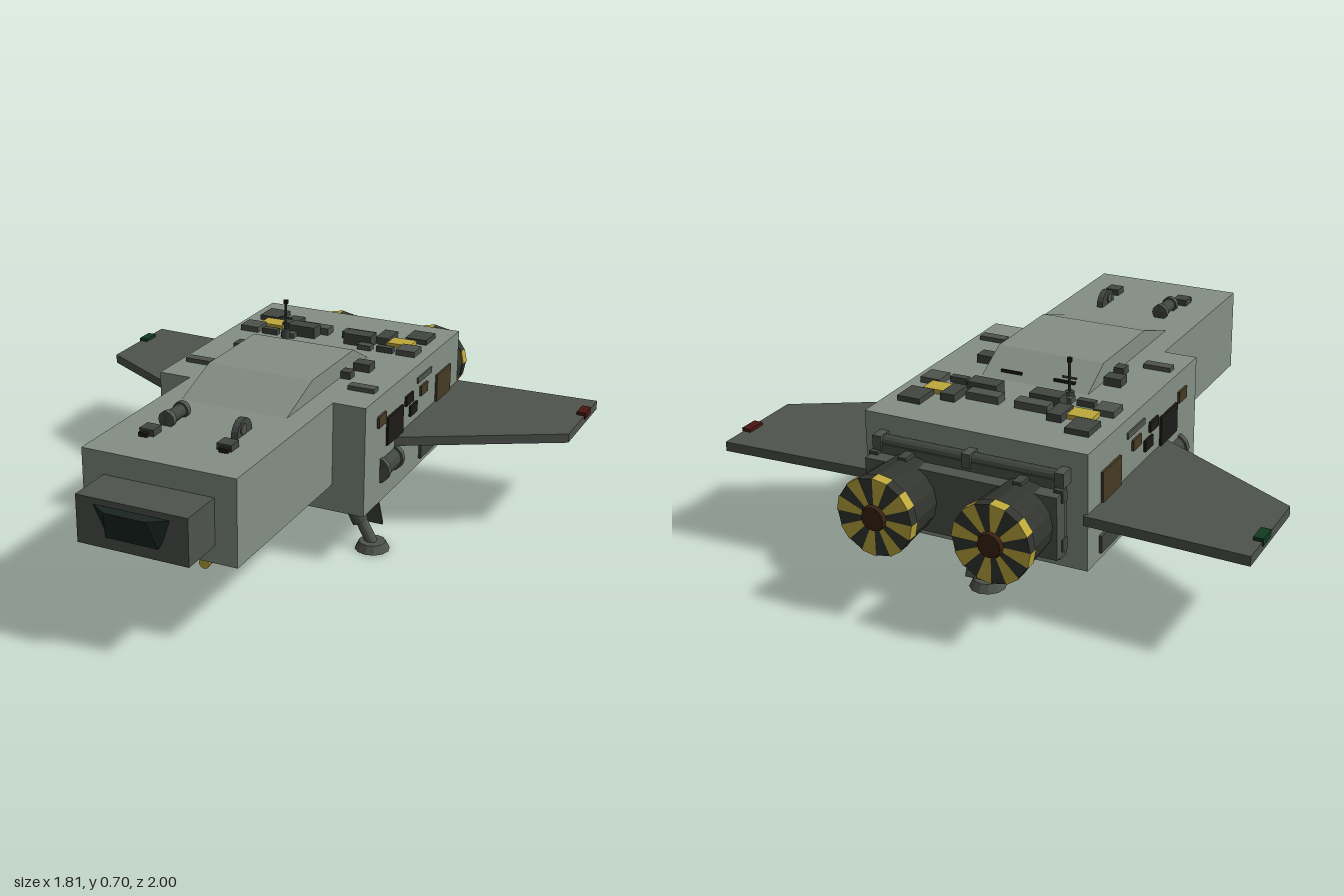
import * as THREE from 'three';

const mat = (color) => new THREE.MeshStandardMaterial({ color, flatShading: true });
const M = {
  hull: mat(0x848f85), dark: mat(0x4e534d), trim: mat(0x414641), engine: mat(0x32352f),
  black: mat(0x1c1a18), brown: mat(0x453a24), yellow: mat(0xbfa93c), glass: mat(0x1a2622),
  rust: mat(0x3a2214), red: mat(0x4a1512), green: mat(0x123a20),
};
const UP = new THREE.Vector3(0, 1, 0);

export function createModel() {
  const root = new THREE.Group();

  const add = (name, geo, m, parent = root) => {
    const mesh = new THREE.Mesh(geo, m);
    mesh.name = name;
    parent.add(mesh);
    return mesh;
  };
  // box given by its extents
  const box = (name, m, x0, x1, y0, y1, z0, z1) =>
    add(name, new THREE.BoxGeometry(x1 - x0, y1 - y0, z1 - z0)
      .translate((x0 + x1) / 2, (y0 + y1) / 2, (z0 + z1) / 2), m);
  // cylinder between two points
  const rod = (name, m, a, b, r0, r1 = r0, sides = 12) => {
    const p = new THREE.Vector3(...a), q = new THREE.Vector3(...b);
    const mesh = add(name, new THREE.CylinderGeometry(r1, r0, p.distanceTo(q), sides), m);
    mesh.position.copy(p).add(q).multiplyScalar(0.5);
    mesh.quaternion.setFromUnitVectors(UP, q.sub(p).normalize());
    return mesh;
  };

  // Hull blocks
  box('mainHull', M.hull, -0.38, 0.38, 0.175, 0.56, -0.725, 0.13);
  box('forwardHull', M.hull, -0.265, 0.265, 0.27, 0.56, 0.13, 0.8);
  box('nose', M.dark, -0.19, 0.19, 0.328, 0.485, 0.8, 0.957);

  // Slanted cockpit window: a block with pulled-in corners
  const win = new THREE.BoxGeometry(1, 1, 1);
  const wp = win.attributes.position;
  for (let i = 0; i < wp.count; i++) {
    const top = wp.getY(i) > 0, front = wp.getZ(i) > 0;
    const w = top ? (front ? 0.07 : 0.14) : 0.09;
    wp.setXYZ(i, Math.sign(wp.getX(i)) * w, top ? 0.465 : 0.365,
      front ? (top ? 0.997 : 0.96) : 0.95);
  }
  add('cockpitWindow', win, M.glass);

  // Raised roof with ramps, extruded across the hull
  const roof = new THREE.Shape([[-0.32, 0.56], [0.32, 0.56], [0.2, 0.625], [-0.13, 0.625]]
    .map(([a, b]) => new THREE.Vector2(a, b)));
  add('roofHump', new THREE.ExtrudeGeometry(roof, { depth: 0.38, bevelEnabled: false })
    .rotateY(Math.PI / 2).translate(-0.19, 0, 0), M.hull);

  // Top panels: x, z, width, length, height, material
  const topPanels = [
    [0.29, -0.57, 0.08, 0.09, 0.018, M.trim], [0.25, -0.485, 0.09, 0.065, 0.015, M.yellow],
    [0.185, -0.51, 0.05, 0.09, 0.025, M.trim], [0.305, -0.42, 0.07, 0.07, 0.02, M.dark],
    [0.225, -0.4, 0.06, 0.025, 0.02, M.trim], [0.11, -0.44, 0.105, 0.055, 0.04, M.trim],
    [0.085, -0.49, 0.115, 0.045, 0.025, M.dark], [0.15, -0.395, 0.05, 0.03, 0.018, M.dark],
    [0.23, -0.2, 0.06, 0.05, 0.028, M.trim], [0.21, -0.107, 0.035, 0.04, 0.025, M.trim],
    [0.305, -0.018, 0.095, 0.036, 0.015, M.dark], [0.135, 0.61, 0.05, 0.05, 0.022, M.trim],
    [0.14, 0.64, 0.03, 0.02, 0.014, M.black],
  ];
  // Side panels: z, y, length, height, thickness, material
  const sidePanels = [
    [0, 0.475, 0.065, 0.04, 0.008, M.brown], [-0.115, 0.415, 0.135, 0.1, 0.008, M.black],
    [-0.24, 0.465, 0.065, 0.035, 0.008, M.black], [-0.28, 0.415, 0.062, 0.038, 0.008, M.black],
    [-0.38, 0.505, 0.13, 0.02, 0.006, M.dark], [-0.375, 0.457, 0.062, 0.036, 0.008, M.brown],
    [-0.565, 0.415, 0.135, 0.1, 0.008, M.brown], [-0.355, 0.315, 0.085, 0.045, 0.01, M.trim],
    [-0.5, 0.228, 0.29, 0.058, 0.01, M.trim],
  ];

  // Wing outline in x and z
  const wingShape = (s) => new THREE.Shape([[0.37, -0.12], [0.9, -0.415], [0.9, -0.76], [0.37, -0.738]]
    .map(([x, z]) => new THREE.Vector2(s * x, -z)));

  for (const s of [-1, 1]) {
    const sideBox = (name, m, x, w, y0, y1, z0, z1) =>
      box(name, m, s * x - w / 2, s * x + w / 2, y0, y1, z0, z1);

    for (const [x, z, w, l, h, m] of topPanels)
      sideBox('topPanel', m, x, w, 0.555, 0.56 + h, z - l / 2, z + l / 2);
    for (const [z, y, l, h, t, m] of sidePanels)
      sideBox('sidePanel', m, 0.38, t * 2, y - h / 2, y + h / 2, z - l / 2, z + l / 2);
    sideBox('roofSlot', M.black, 0.095, 0.075, 0.57, 0.583, -0.295, -0.288);

    // Wing with its tip light
    add('wing', new THREE.ExtrudeGeometry(wingShape(s), { depth: 0.032, bevelEnabled: false })
      .rotateX(-Math.PI / 2).translate(0, 0.333, 0), M.dark);
    sideBox('wingLight', s > 0 ? M.red : M.green, 0.888, 0.032, 0.352, 0.376, -0.665, -0.598);

    // Side tank with end rings
    rod('sideTank', M.trim, [s * 0.368, 0.29, 0], [s * 0.368, 0.29, -0.14], 0.04);
    for (const z of [0, -0.12])
      rod('tankRing', M.dark, [s * 0.368, 0.29, z], [s * 0.368, 0.29, z - 0.02], 0.047);

    // Chin gun
    rod('gunBarrel', M.trim, [s * 0.122, 0.23, 0.48], [s * 0.122, 0.23, 0.735], 0.016);
    rod('gunMuzzle', M.yellow, [s * 0.122, 0.23, 0.735], [s * 0.122, 0.23, 0.747], 0.018);
    sideBox('gunMount', M.trim, 0.122, 0.03, 0.22, 0.275, 0.49, 0.6);

    // Engine bell, hazard ring and core
    const ex = s * 0.195, ey = 0.35;
    rod('engineBell', M.engine, [ex, ey, -0.76], [ex, ey, -0.95], 0.114, 0.124, 16);
    rod('engineRim', M.engine, [ex, ey, -0.95], [ex, ey, -0.985], 0.127, 0.127, 16);
    for (let i = 0; i < 8; i++) {
      const stripe = add('hazardStripe', new THREE.CylinderGeometry(0.129, 0.129, 0.037, 1, 1, false,
        (i * 2 * Math.PI) / 8, Math.PI / 8), M.yellow);
      stripe.rotation.x = Math.PI / 2;
      stripe.position.set(ex, ey, -0.968);
    }
    rod('engineCore', M.rust, [ex, ey, -0.98], [ex, ey, -0.998], 0.045, 0.038);
    sideBox('engineBracket', M.trim, 0.195, 0.03, 0.44, 0.475, -0.82, -0.76);
    for (const y of [0.26, 0.42]) sideBox('rearClamp', M.trim, 0.315, 0.03, y, y + 0.04, -0.79, -0.76);
  }

  // Engine mounting and cross pipe
  box('enginePlate', M.dark, -0.31, 0.31, 0.22, 0.48, -0.77, -0.72);
  box('engineMount', M.dark, -0.325, 0.325, 0.245, 0.45, -0.82, -0.765);
  rod('rearPipe', M.trim, [-0.315, 0.485, -0.748], [0.315, 0.485, -0.748], 0.02);
  for (const x of [-0.31, 0, 0.31]) box('pipeBracket', M.dark, x - 0.015, x + 0.015, 0.46, 0.507, -0.775, -0.72);

  // Landing legs: hull end, foot position
  const legs = [[-0.27, 0, -0.36, 0], [0.27, 0, 0.36, 0], [0, -0.575, 0, -0.655]];
  for (const [x, z, fx, fz] of legs) {
    const mx = (x + fx) / 2, mz = (z + fz) / 2;
    rod('legStrut', M.trim, [x, 0.175, z], [mx, 0.09, mz], 0.028);
    rod('legPiston', M.dark, [mx, 0.1, mz], [fx, 0.02, fz], 0.02);
    rod('foot', M.dark, [fx, 0, fz], [fx, 0.028, fz], 0.06, 0.046);
    const hx = x + Math.sign(x) * 0.02;
    box('legBay', M.black, hx - 0.06, hx + 0.06, 0.16, 0.178, z - 0.065, z + 0.065);
    for (const e of [-1, 1])
      for (let i = -1; i <= 1; i++)
        box('bayStripe', M.yellow, hx + e * 0.052 - 0.009, hx + e * 0.052 + 0.009, 0.155, 0.178,
          z + i * 0.042 - 0.011, z + i * 0.042 + 0.011);
    const door = add('bayDoor', new THREE.BoxGeometry(0.118, 0.135, 0.008), M.trim);
    door.position.set(hx, 0.1, z - 0.092);
    door.rotation.x = 0.39;
  }

  // Belly vents
  for (let i = 0; i < 4; i++) {
    const z = -0.275 - i * 0.056;
    box('bellyVent', M.black, -0.1, 0.1, 0.157, 0.178, z - 0.018, z + 0.018);
  }

  // Antenna
  rod('antennaBase', M.trim, [-0.155, 0.56, -0.38], [-0.155, 0.59, -0.38], 0.015);
  rod('antennaMast', M.trim, [-0.155, 0.58, -0.38], [-0.155, 0.7, -0.38], 0.005, 0.005, 8);
  rod('antennaTip', M.black, [-0.155, 0.688, -0.38], [-0.155, 0.702, -0.38], 0.009, 0.009, 8);
  rod('antennaBar', M.trim, [-0.18, 0.635, -0.38], [-0.13, 0.635, -0.38], 0.004, 0.004, 6);

  // Foredeck canister and sensor wheel
  rod('deckCanister', M.trim, [-0.12, 0.58, 0.43], [-0.12, 0.58, 0.54], 0.022);
  for (const z of [0.43, 0.52]) rod('canisterRing', M.dark, [-0.12, 0.58, z], [-0.12, 0.58, z + 0.02], 0.028);
  rod('sensorWheel', M.trim, [0.108, 0.562, 0.49], [0.13, 0.562, 0.49], 0.05, 0.05, 16);
  rod('sensorHub', M.dark, [0.104, 0.58, 0.5], [0.134, 0.58, 0.5], 0.018);

  return root;
}
